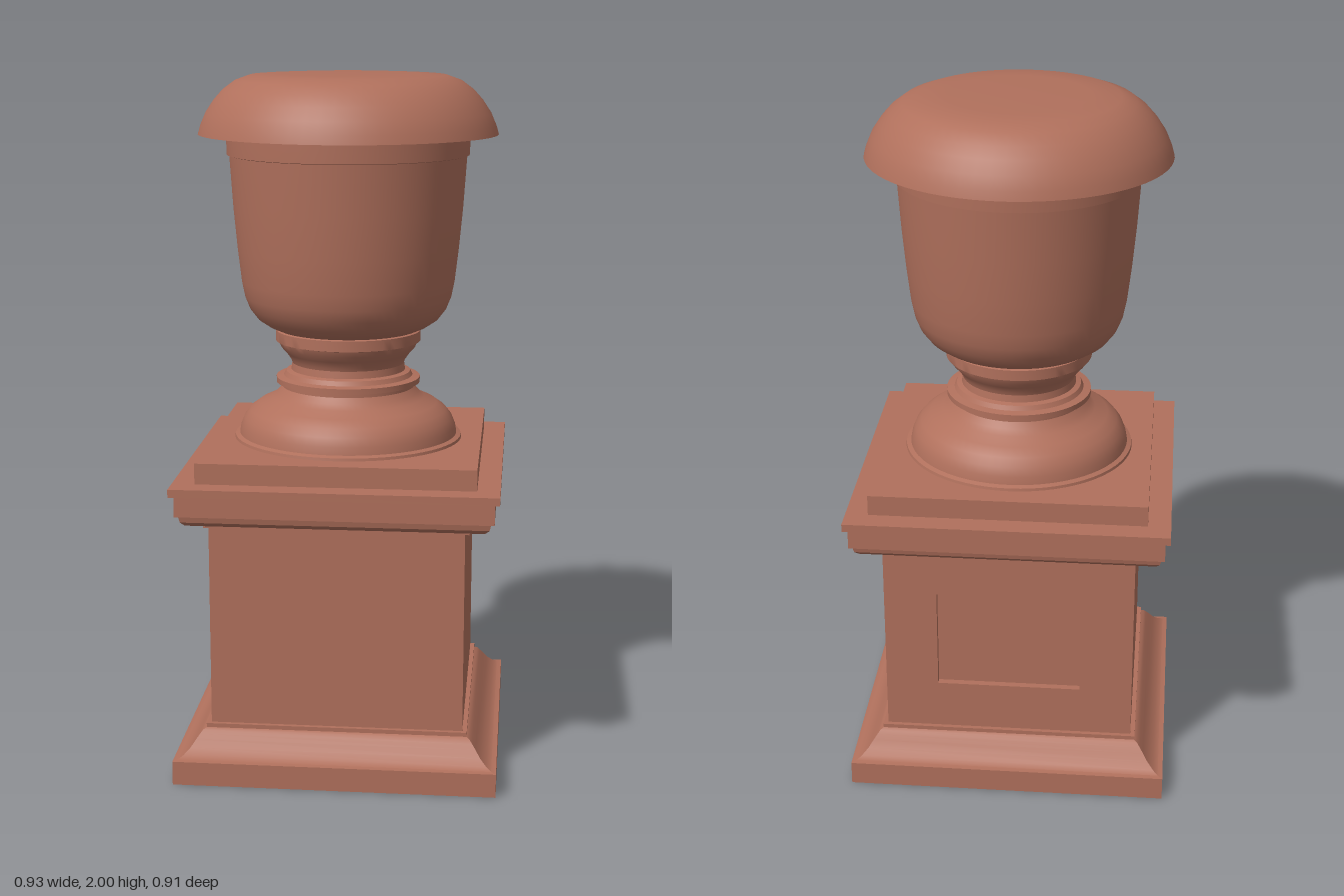
import * as THREE from 'three';
import { toCreasedNormals } from 'three/addons/utils/BufferGeometryUtils.js';

const terracotta = new THREE.MeshStandardMaterial({ color: 0xb0705c });

function addMesh(parent, name, geometry) {
  const mesh = new THREE.Mesh(geometry, terracotta);
  mesh.name = name;
  parent.add(mesh);
  return mesh;
}

// Turned part: profile of [radius, y] from bottom to top, slightly oval
function turned(parent, name, profile) {
  const pts = profile.map(([r, y]) => new THREE.Vector2(r, y));
  const geo = new THREE.LatheGeometry(pts, 64).scale(1, 1, 0.97);
  return addMesh(parent, name, toCreasedNormals(geo, 0.45));
}

// Square moulding: profile of [half width, y], swept round four mitred sides
function squared(parent, name, profile) {
  const pts = profile.map(([w, y]) => new THREE.Vector2(w * Math.SQRT2, y));
  const geo = new THREE.LatheGeometry(pts, 4, Math.PI / 4).scale(1, 1, 0.985);
  return addMesh(parent, name, toCreasedNormals(geo, 0.45));
}

function createPedestal() {
  const pedestal = new THREE.Group();
  pedestal.name = 'pedestal';

  squared(pedestal, 'baseMoulding', [
    [0, 0], [0.464, 0], [0.464, 0.07], [0.45, 0.072], [0.436, 0.08], [0.418, 0.097],
    [0.404, 0.117], [0.394, 0.13], [0.386, 0.14], [0.377, 0.145], [0.377, 0.157], [0, 0.157],
  ]);

  // Die block with a sunken rectangular panel in its back face
  const w = 0.364, d = 0.359, y0 = 0.15, y1 = 0.76, sink = 0.02;
  addMesh(pedestal, 'die', new THREE.BoxGeometry(2 * w, y1 - y0, 2 * d - sink))
    .position.set(0, (y0 + y1) / 2, sink / 2);
  const face = new THREE.Shape([
    new THREE.Vector2(-w, y0), new THREE.Vector2(w, y0),
    new THREE.Vector2(w, y1), new THREE.Vector2(-w, y1),
  ]);
  face.holes.push(new THREE.Path([
    new THREE.Vector2(-0.21, 0.305), new THREE.Vector2(-0.21, 0.61),
    new THREE.Vector2(0.21, 0.61), new THREE.Vector2(0.21, 0.305),
  ]));
  addMesh(pedestal, 'backPanelFrame',
    new THREE.ExtrudeGeometry(face, { depth: sink, bevelEnabled: false }))
    .position.z = -d;

  squared(pedestal, 'cornice', [
    [0, 0.748], [0.377, 0.748], [0.377, 0.76], [0.405, 0.761], [0.422, 0.767], [0.433, 0.778],
    [0.437, 0.795], [0.447, 0.797], [0.447, 0.855], [0.461, 0.857], [0.461, 0.88], [0, 0.88],
  ]);
  squared(pedestal, 'urnPlinth', [[0, 0.87], [0.396, 0.87], [0.396, 0.94], [0, 0.94]]);
  return pedestal;
}

function createUrn() {
  const urn = new THREE.Group();
  urn.name = 'urn';

  turned(urn, 'foot', [
    [0, 0.938], [0.337, 0.938], [0.335, 0.948], [0.322, 0.953], [0.318, 0.975], [0.308, 1.0],
    [0.29, 1.023], [0.262, 1.043], [0.225, 1.06], [0.208, 1.075], [0.195, 1.092], [0.195, 1.102],
    [0.212, 1.105], [0.212, 1.121], [0.19, 1.125], [0.183, 1.138], [0.168, 1.142], [0.165, 1.165],
    [0, 1.165],
  ]);
  turned(urn, 'neck', [
    [0, 1.155], [0.163, 1.155], [0.168, 1.172], [0.182, 1.192], [0.198, 1.21], [0.205, 1.227],
    [0.213, 1.229], [0.213, 1.26], [0.2, 1.265], [0, 1.265],
  ]);
  turned(urn, 'bowl', [
    [0, 1.26], [0.2, 1.26], [0.235, 1.275], [0.265, 1.295], [0.288, 1.325], [0.302, 1.36],
    [0.311, 1.405], [0.322, 1.5], [0.333, 1.62], [0.343, 1.77], [0.35, 1.772], [0.352, 1.83],
    [0.352, 1.89],
  ]);

  // Rounded cap, hollowed beneath its overhanging lip
  turned(urn, 'cap', [
    [0.34, 1.88], [0.38, 1.865], [0.408, 1.842], [0.417, 1.83], [0.432, 1.83], [0.425, 1.855],
    [0.41, 1.89], [0.386, 1.926], [0.36, 1.955], [0.325, 1.981], [0.283, 1.996], [0.2, 2.0],
    [0, 2.0],
  ]);
  return urn;
}

export function createModel() {
  const model = new THREE.Group();
  model.name = 'urnOnPedestal';
  model.add(createPedestal(), createUrn());
  return model;
}
